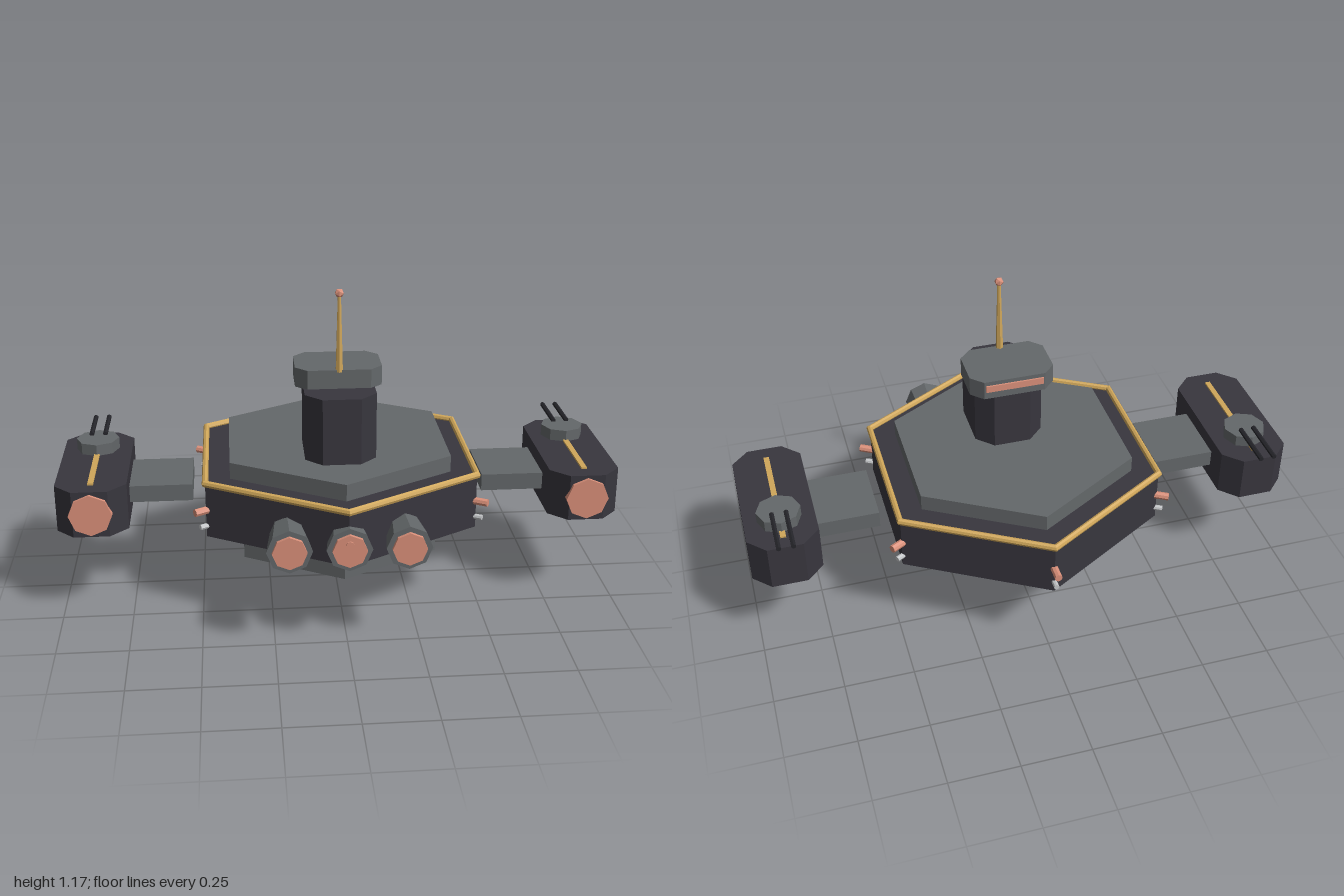
import * as THREE from 'three';

const material = (name, color) => {
  const m = new THREE.MeshStandardMaterial({ color });
  m.name = name;
  return m;
};

export function createModel() {
  const dark = material('dark plating', 0x38363e);
  const grey = material('grey plating', 0x64686a);
  const gold = material('gold trim', 0xd0a75a);
  const glow = material('copper glow', 0xda907a);
  const black = material('gun metal', 0x25252a);
  const light = material('pale metal', 0xc4c6c8);

  const root = new THREE.Group();
  root.name = 'spaceStation';

  // Faceted mesh helper
  function add(name, geometry, mat, x, y, z, parent = root) {
    const g = geometry.index ? geometry.toNonIndexed() : geometry;
    g.computeVertexNormals();
    const mesh = new THREE.Mesh(g, mat);
    mesh.name = name;
    mesh.position.set(x, y, z);
    parent.add(mesh);
    return mesh;
  }
  const prism = (rTop, rBottom, h, sides) => new THREE.CylinderGeometry(rTop, rBottom, h, sides);
  const alongZ = (rFront, rBack, length, sides = 8) => prism(rFront, rBack, length, sides).rotateX(Math.PI / 2);
  const ring = (radius, tube, sides) => new THREE.TorusGeometry(radius, tube, 8, sides)
    .rotateZ(Math.PI / 2).rotateX(Math.PI / 2);

  // Block with its four upright edges cut off, standing on y = 0
  function cutBlock(w, h, d, c) {
    const a = w / 2, b = d / 2;
    const shape = new THREE.Shape([
      [a, c - b], [a, b - c], [a - c, b], [c - a, b],
      [-a, b - c], [-a, c - b], [c - a, -b], [a - c, -b],
    ].map(([x, y]) => new THREE.Vector2(x, y)));
    return new THREE.ExtrudeGeometry(shape, { depth: h, bevelEnabled: false }).rotateX(-Math.PI / 2);
  }

  // Hexagonal hull
  add('mainHull', prism(0.55, 0.55, 0.195, 6), dark, 0, 0.4125, 0);
  add('upperDeck', prism(0.45, 0.45, 0.06, 6), grey, 0, 0.54, 0);
  add('lowerHull', prism(0.4, 0.4, 0.125, 6), grey, 0, 0.2525, 0);
  add('hullRim', ring(0.55, 0.013, 6), gold, 0, 0.515, 0);

  // Command tower
  add('tower', cutBlock(0.25, 0.25, 0.296, 0.058), dark, 0, 0.56, 0.127);
  add('bridge', cutBlock(0.306, 0.07, 0.212, 0.042), grey, 0, 0.808, 0.055);
  add('bridgeWindow', new THREE.BoxGeometry(0.21, 0.025, 0.008), glow, 0, 0.85, -0.053);
  add('antennaMast', prism(0.006, 0.014, 0.28, 6), gold, 0, 1.01, 0.152);
  add('antennaTip', new THREE.IcosahedronGeometry(0.017, 0), glow, 0, 1.151, 0.152);

  // Belly sensor
  add('sensorBase', prism(0.11, 0.11, 0.065, 8), dark, 0, 0.1625, -0.15);
  add('sensorRing', ring(0.09, 0.008, 8), gold, 0, 0.13, -0.15);
  add('sensorSpike', prism(0.027, 0.006, 0.135, 6), gold, 0, 0.0675, -0.15);

  // Main engines
  for (const x of [-0.2, 0, 0.2]) {
    add('engineNozzle', alongZ(0.078, 0.06, 0.15), grey, x, 0.39, 0.5);
    add('engineGlow', alongZ(0.059, 0.059, 0.02), glow, x, 0.39, 0.578);
  }

  // Thrusters on the hull corners
  for (let i = 0; i < 6; i++) {
    const corner = new THREE.Group();
    corner.name = 'cornerThruster';
    corner.rotation.y = i * Math.PI / 3;
    root.add(corner);
    add('thrusterTube', alongZ(0.014, 0.014, 0.06), glow, 0, 0.415, 0.564, corner);
    add('thrusterVent', alongZ(0.01, 0.01, 0.04), light, 0, 0.355, 0.555, corner);
  }

  // Side pods with struts and turrets
  for (const side of [-1, 1]) {
    const pod = new THREE.Group();
    pod.name = side > 0 ? 'leftPod' : 'rightPod';
    pod.position.x = side * 0.875;
    root.add(pod);
    add('podBody', cutBlock(0.25, 0.17, 0.56, 0.062), dark, 0, 0.33, 0, pod);
    add('podGlow', alongZ(0.076, 0.076, 0.03), glow, 0, 0.415, 0.277, pod);
    add('podStripe', new THREE.BoxGeometry(0.02, 0.009, 0.45), gold, 0, 0.502, -0.005, pod);
    add('strut', new THREE.BoxGeometry(0.23, 0.062, 0.25), grey, side * -0.235, 0.416, -0.006, pod);
    add('turret', prism(0.078, 0.078, 0.042, 8), grey, 0, 0.521, -0.125, pod);
    for (const x of [-0.025, 0.025]) {
      add('gunBarrel', alongZ(0.009, 0.009, 0.185, 6), black, x, 0.546, -0.2425, pod);
    }
  }
  return root;
}
